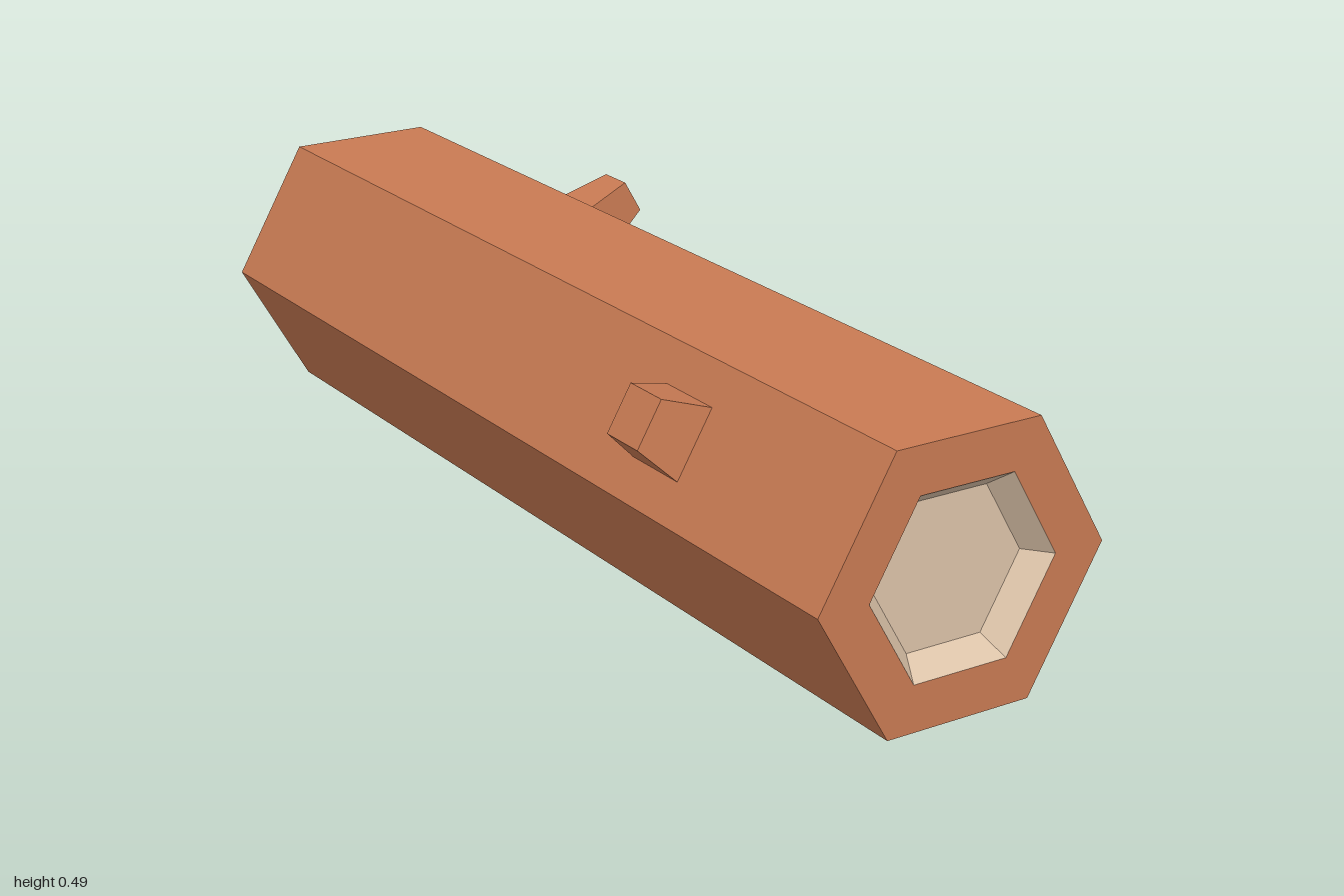
import * as THREE from 'three';

const bark = new THREE.MeshStandardMaterial({ color: 0xc87a53, flatShading: true });
const wood = new THREE.MeshStandardMaterial({ color: 0xdcc3a9, flatShading: true });

const AXIS_X = -0.022, AXIS_Y = 0.244;
const R = 0.2815, RIM = 0.1845, FLOOR = 0.148, DEPTH = 0.045;

// Six-sided solid turned about the z axis from [radius, z] points, back to front
function hexLathe(name, points, material) {
  const profile = points.map(([r, z]) => new THREE.Vector2(r, z));
  const geometry = new THREE.LatheGeometry(profile, 6, Math.PI / 2);
  geometry.rotateX(Math.PI / 2);
  const mesh = new THREE.Mesh(geometry, material);
  mesh.name = name;
  mesh.position.set(AXIS_X, AXIS_Y, 0);
  return mesh;
}

// Tapered square stub standing square on an upper sloping face of the log
function branchStub(name, side, x, y, z, baseWidth, tipWidth, length) {
  const geometry = new THREE.CylinderGeometry(tipWidth / Math.SQRT2, baseWidth / Math.SQRT2, length, 4);
  geometry.rotateY(Math.PI / 4);
  geometry.translate(0, length / 2, 0);
  const mesh = new THREE.Mesh(geometry, bark);
  mesh.name = name;
  mesh.position.set(x, y, z);
  mesh.rotation.z = -side * Math.PI / 3;
  return mesh;
}

export function createModel() {
  const log = new THREE.Group();
  log.name = 'log';

  // Bark shell with its end rims
  log.add(hexLathe('bark', [[RIM, -1], [R, -1], [R, 1], [RIM, 1]], bark));

  // Sunken pale wood at both ends
  log.add(hexLathe('frontCutEnd', [[RIM, 1], [FLOOR, 1 - DEPTH], [0, 1 - DEPTH]], wood));
  log.add(hexLathe('backCutEnd', [[0, DEPTH - 1], [FLOOR, DEPTH - 1], [RIM, -1]], wood));

  // Cut branches
  log.add(branchStub('leftBranch', 1, 0.189, 0.367, -0.516, 0.118, 0.071, 0.141));
  log.add(branchStub('rightBranch', -1, -0.233, 0.366, 0.491, 0.134, 0.092, 0.086));

  return log;
}
